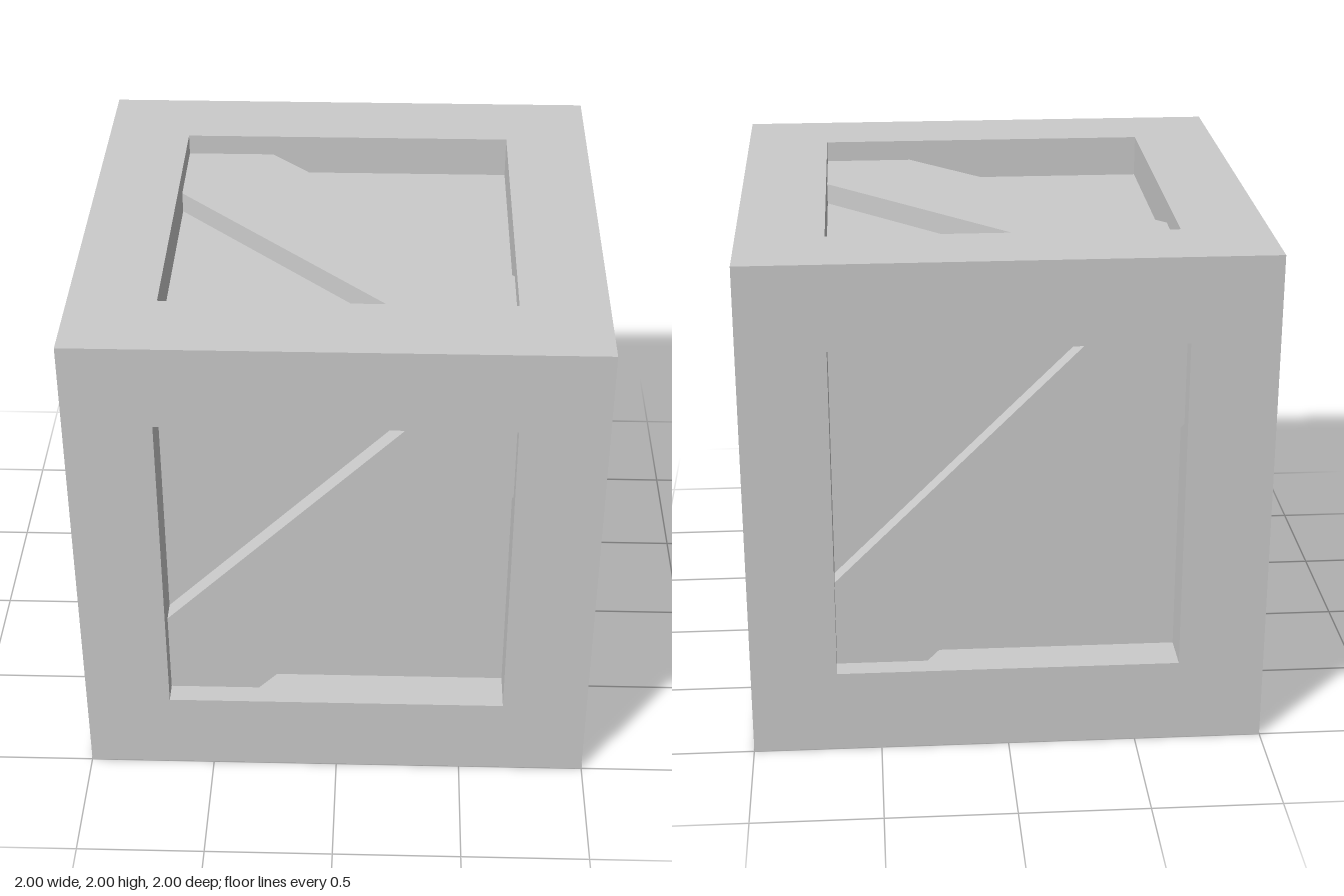
import * as THREE from 'three';

const HALF = 1;           // half of the crate's side
const BEAM = 1 / 3;       // square section of the frame beams
const OPEN = HALF - BEAM; // half of each square opening
const PANEL = HALF - 1 / 6;  // distance of the panels from the centre
const BRACE = HALF - 1 / 12; // distance of the brace faces from the centre

export function createModel() {
  const crate = new THREE.Group();
  crate.name = 'crate';
  const material = new THREE.MeshStandardMaterial({ color: 0xcccccc, flatShading: true });

  const add = (name, geometry) => {
    const mesh = new THREE.Mesh(geometry, material);
    mesh.name = name;
    mesh.position.y = HALF;
    crate.add(mesh);
    return mesh;
  };

  // Recessed panels on all six sides, as one inner box
  add('panels', new THREE.BoxGeometry(2 * PANEL, 2 * PANEL, 2 * PANEL));

  // Frame: full-height corner posts, with rails fitted between them
  const c = HALF - BEAM / 2;
  for (const a of [-c, c]) {
    for (const b of [-c, c]) {
      add('cornerPost', new THREE.BoxGeometry(BEAM, 2 * HALF, BEAM)).position.set(a, HALF, b);
      add('sideRail', new THREE.BoxGeometry(2 * OPEN, BEAM, BEAM)).position.set(0, HALF + a, b);
      add('depthRail', new THREE.BoxGeometry(BEAM, BEAM, 2 * OPEN)).position.set(a, HALF + b, 0);
    }
  }

  // Diagonal brace, 0.5 wide, its ends cut to the corners of the opening
  const cut = OPEN - 0.5 / Math.SQRT2;
  const outline = new THREE.Shape([
    [-OPEN, -OPEN], [-cut, -OPEN], [OPEN, cut],
    [OPEN, OPEN], [cut, OPEN], [-OPEN, -cut],
  ].map(([x, y]) => new THREE.Vector2(x, y)));
  const braceGeometry = new THREE.ExtrudeGeometry(outline, { depth: BRACE - PANEL, bevelEnabled: false });
  braceGeometry.translate(0, 0, PANEL);

  // One brace per side; the top one is turned to run the other way
  const q = Math.PI / 2;
  const sides = {
    front: [0, 0, 0], left: [0, q, 0], back: [0, 2 * q, 0], right: [0, -q, 0],
    top: [-q, 0, q], bottom: [q, 0, 0],
  };
  for (const [side, turn] of Object.entries(sides)) {
    add(side + 'Brace', braceGeometry).rotation.set(...turn);
  }
  return crate;
}
